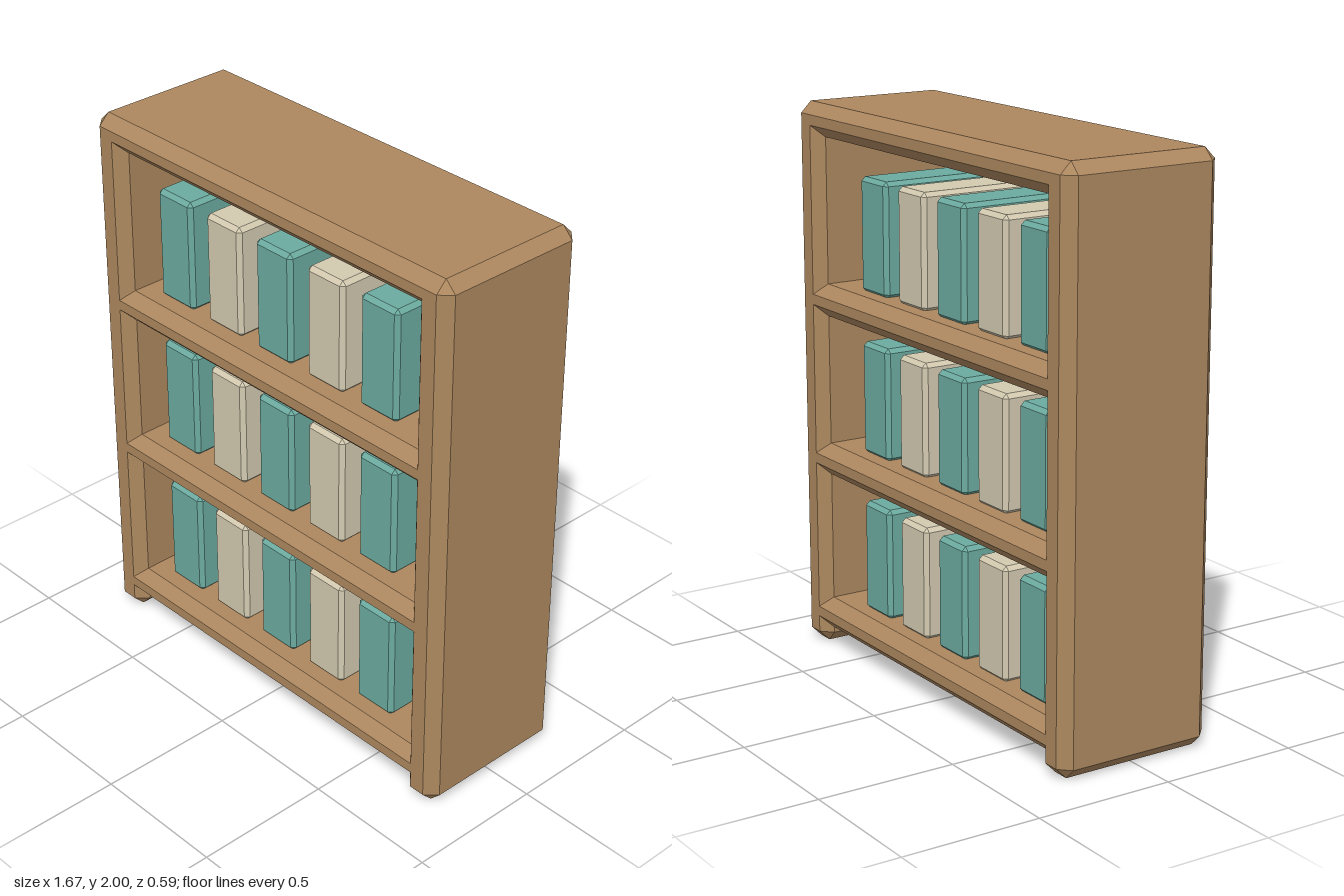
import * as THREE from 'three';
import { ConvexGeometry } from 'three/addons/geometries/ConvexGeometry.js';

// Box with every edge and corner cut by a flat chamfer c
function chamferBox(w, h, d, c) {
  const points = [];
  for (const sx of [-1, 1]) for (const sy of [-1, 1]) for (const sz of [-1, 1]) {
    for (let axis = 0; axis < 3; axis++) {
      const inset = [0, 1, 2].map((i) => (i === axis ? 0 : c));
      points.push(new THREE.Vector3(
        sx * (w / 2 - inset[0]),
        sy * (h / 2 - inset[1]),
        sz * (d / 2 - inset[2])
      ));
    }
  }
  return new ConvexGeometry(points);
}

export function createModel() {
  const model = new THREE.Group();
  model.name = 'bookcase';

  const makeMaterial = (name, color) => {
    const m = new THREE.MeshStandardMaterial({ color });
    m.name = name;
    return m;
  };
  const wood = makeMaterial('wood', 0xad885f);
  const teal = makeMaterial('teal', 0x6caba0);
  const cream = makeMaterial('cream', 0xd3cab0);

  const add = (name, geometry, material, x, y, z) => {
    const mesh = new THREE.Mesh(geometry, material);
    mesh.name = name;
    mesh.position.set(x, y, z);
    model.add(mesh);
  };

  const width = 1.67, height = 2, depth = 0.59, bevel = 0.04;
  const panel = 0.14, board = 0.117;

  // Side panels, running down to the floor
  const sideGeometry = chamferBox(panel, height, depth, bevel);
  for (const s of [1, -1]) {
    add(s > 0 ? 'leftPanel' : 'rightPanel', sideGeometry, wood, s * (width - panel) / 2, height / 2, 0);
  }

  // Top board across the full width
  add('topBoard', chamferBox(width, board, depth, bevel), wood, 0, height - board / 2, 0);

  // Three shelves, each with a row of five books
  const shelfGeometry = chamferBox(1.55, board, depth, bevel);
  const bookHeight = 0.41;
  const bookGeometry = chamferBox(0.172, bookHeight, 0.412, 0.015);
  [0.178, 0.768, 1.357].forEach((top, row) => {
    add(`shelf${row + 1}`, shelfGeometry, wood, 0, top - board / 2, 0);
    for (let i = 0; i < 5; i++) {
      add(`book${row + 1}_${i + 1}`, bookGeometry, i % 2 ? cream : teal,
        -0.532 + i * 0.2473, top - 0.005 + bookHeight / 2, -0.003);
    }
  });

  return model;
}
